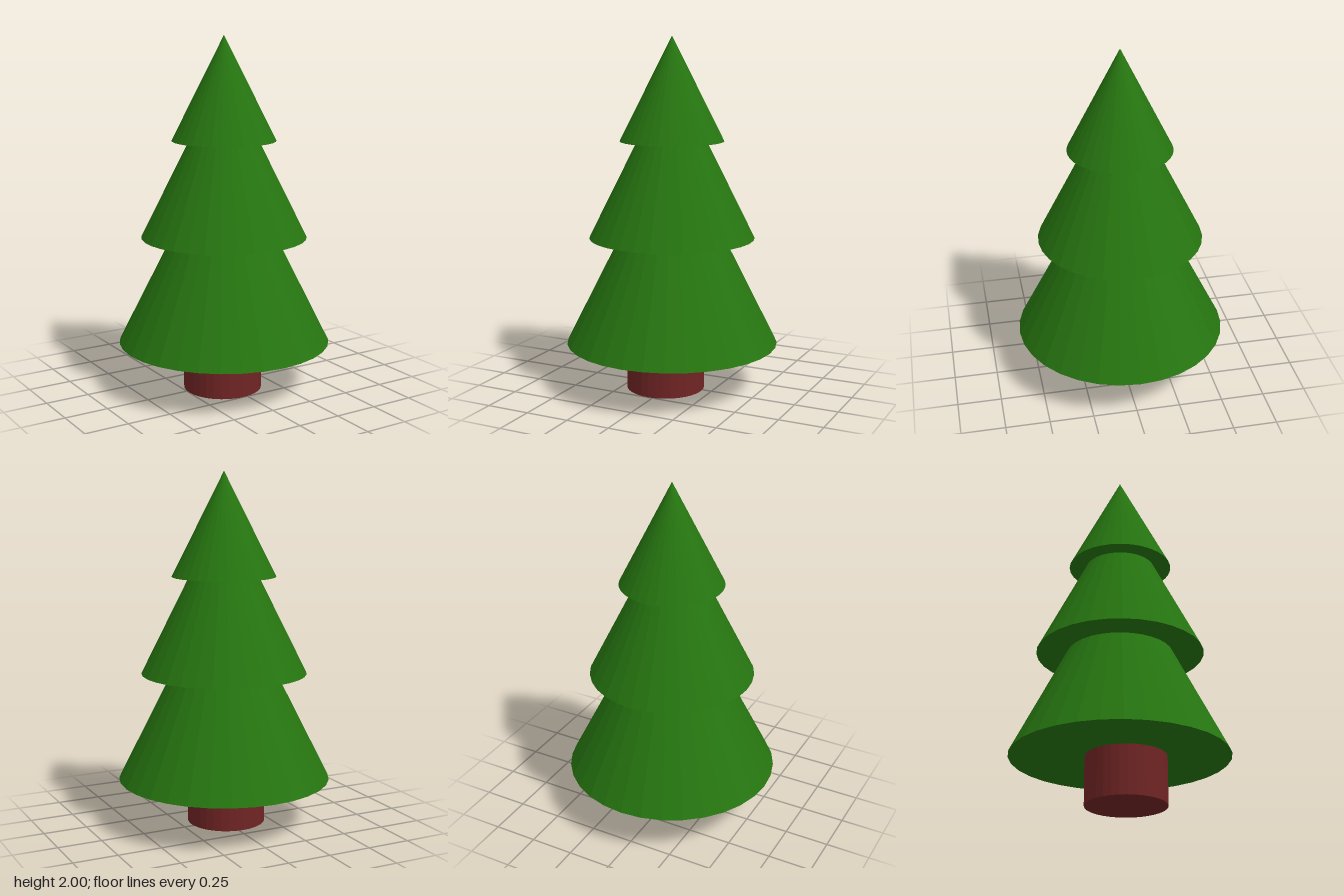
import * as THREE from 'three';

const SIDES = 32;

export function createModel() {
  const tree = new THREE.Group();
  tree.name = 'tree';

  const needles = new THREE.MeshStandardMaterial({ color: 0x267510, flatShading: true });
  const bark = new THREE.MeshStandardMaterial({ color: 0x702424, flatShading: true });

  // Trunk, slightly off the axis of the foliage
  const trunkHeight = 0.4;
  const trunk = new THREE.Mesh(new THREE.CylinderGeometry(0.222, 0.222, trunkHeight, SIDES), bark);
  trunk.name = 'trunk';
  trunk.position.set(-0.027, trunkHeight / 2, 0.027);
  tree.add(trunk);

  // Stacked foliage cones, each rising into the one above
  const tiers = [
    { name: 'lowerFoliage', radius: 0.6, base: 0.27, tip: 1.46 },
    { name: 'middleFoliage', radius: 0.467, base: 0.875, tip: 1.81 },
    { name: 'upperFoliage', radius: 0.292, base: 1.42, tip: 2 },
  ];
  for (const { name, radius, base, tip } of tiers) {
    const cone = new THREE.Mesh(new THREE.ConeGeometry(radius, tip - base, SIDES), needles);
    cone.name = name;
    cone.position.y = (base + tip) / 2;
    tree.add(cone);
  }

  return tree;
}
